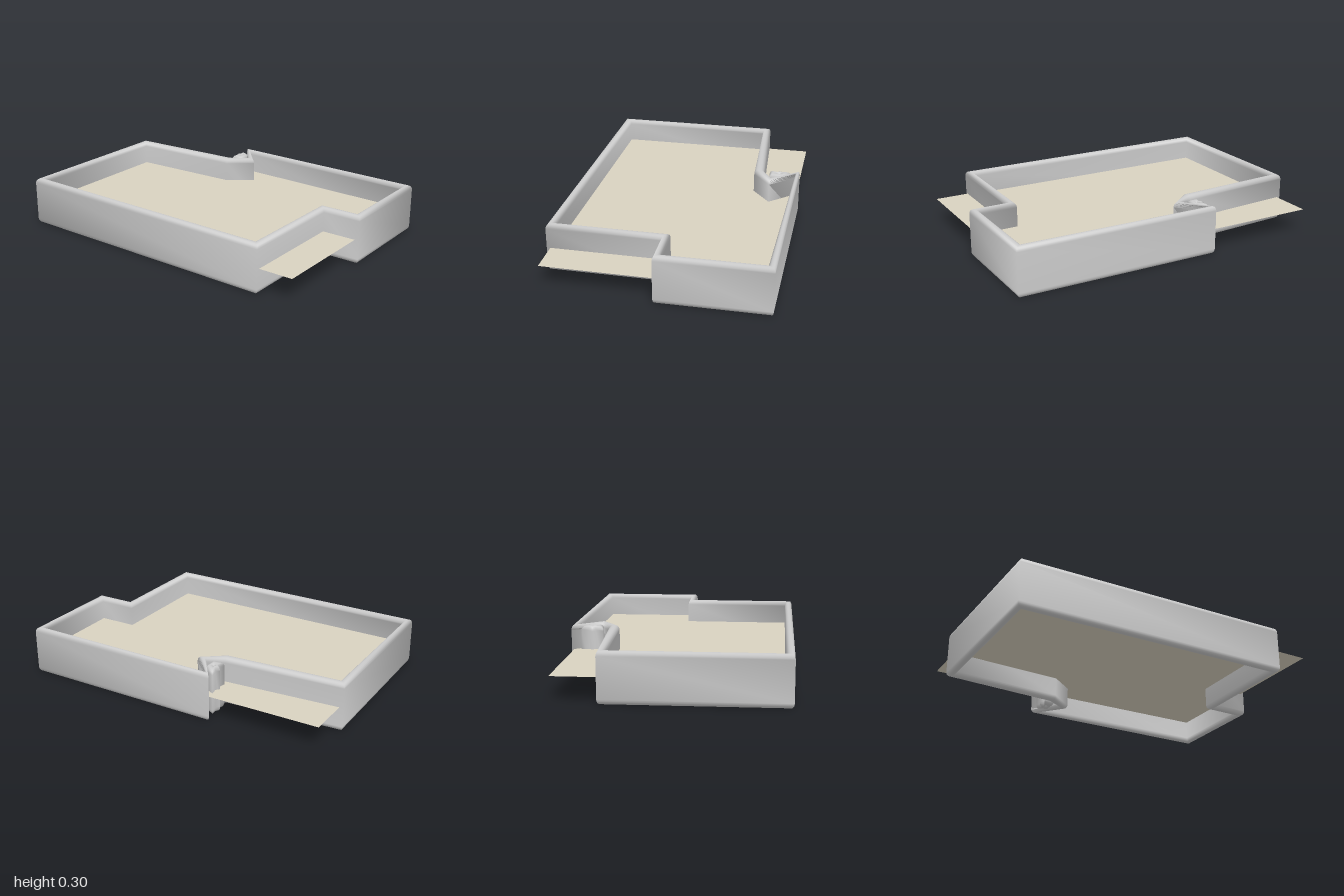
import * as THREE from 'three';

const HEIGHT = 0.3;

// Closed loop of wall: corners are [outerX, outerZ, innerX, innerZ], listed clockwise from above.
function wallLoop(name, corners, y0, y1, material, round = 0.03) {
  // Rounded cross-section: t runs 0 (inside) to 1 (outside), going up, over, down and under.
  const section = [];
  const steps = 5;
  const arc = (ct, cy, start) => {
    for (let k = 0; k <= steps; k++) {
      const a = start - (k / steps) * Math.PI / 2;
      section.push([ct + 0.42 * Math.cos(a), cy + round * Math.sin(a)]);
    }
  };
  arc(0.42, y1 - round, Math.PI);
  arc(0.58, y1 - round, Math.PI / 2);
  arc(0.58, y0 + round, 0);
  arc(0.42, y0 + round, -Math.PI / 2);

  const m = section.length, n = corners.length;
  const positions = [], index = [];
  corners.forEach(([ox, oz, ix, iz], i) => {
    section.forEach(([t, y], j) => {
      positions.push(ix + (ox - ix) * t, y, iz + (oz - iz) * t);
      const a = i * m + j, b = ((i + 1) % n) * m + j;
      const c = i * m + (j + 1) % m, d = ((i + 1) % n) * m + (j + 1) % m;
      index.push(a, b, c, b, d, c);
    });
  });
  const geometry = new THREE.BufferGeometry();
  geometry.setAttribute('position', new THREE.Float32BufferAttribute(positions, 3));
  geometry.setIndex(index);
  geometry.computeVertexNormals(); // shared corners give soft shading along the walls
  const mesh = new THREE.Mesh(geometry, material);
  mesh.name = name;
  return mesh;
}

export function createModel() {
  const group = new THREE.Group();
  group.name = 'walledEnclosure';
  const grey = new THREE.MeshStandardMaterial({ color: 0xcccccc, side: THREE.DoubleSide });

  // Perimeter wall with a front step and a notch on the left side
  group.add(wallLoop('perimeterWall', [
    [-0.672, -0.99, -0.622, -0.947],
    [0.40, -1.0, 0.352, -0.953],
    [0.452, -0.265, 0.388, -0.25],
    [0.508, -0.17, 0.503, -0.106],
    [0.68, -0.292, 0.652, -0.245],
    [0.676, 0.99, 0.631, 0.943],
    [0.002, 0.994, 0.047, 0.947],
    [0.0, 0.755, 0.045, 0.709],
    [-0.685, 0.755, -0.639, 0.709],
  ], 0, HEIGHT, grey));

  // Small crumpled pillar standing in the notch
  const cx = 0.55, cz = -0.245;
  const outline = [
    [0.485, -0.28], [0.535, -0.268], [0.552, -0.29], [0.575, -0.272],
    [0.622, -0.28], [0.588, -0.21], [0.492, -0.21],
  ];
  group.add(wallLoop('notchPillar',
    outline.map(([x, z]) => [x, z, cx + (x - cx) * 0.05, cz + (z - cz) * 0.05]),
    0.005, HEIGHT - 0.005, grey));

  // Thin floor sheet at mid height
  const floor = new THREE.Mesh(
    new THREE.PlaneGeometry(1.33, 1.945).rotateX(-Math.PI / 2),
    new THREE.MeshStandardMaterial({ color: 0xd9d2c0, side: THREE.DoubleSide }));
  floor.name = 'floorSheet';
  floor.position.set(0.002, HEIGHT / 2, -0.004);
  group.add(floor);

  return group;
}
